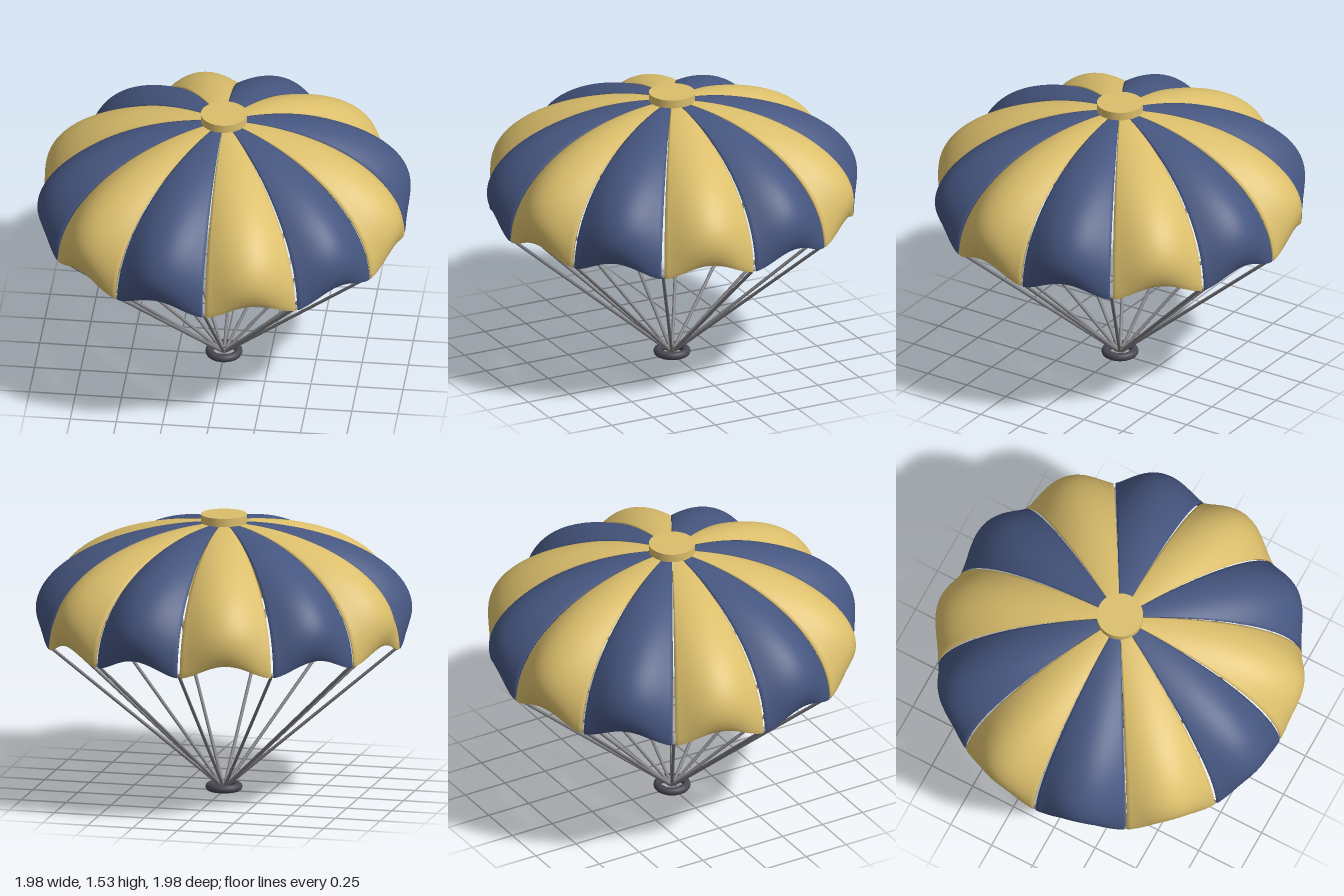
import * as THREE from 'three';

const PANELS = 12;
const STEP = (Math.PI * 2) / PANELS;
const GAP = 0.008;      // half of the angular slit between panels
const HALF = 0.006;     // half of the cloth thickness
const ROWS = 32, COLS = 22;

// Elliptical profile from crown to hem, as radius and height
const arc = (angle, radius, height, base) =>
  new THREE.Vector2(radius * Math.sin(angle), base + height * Math.cos(angle));
const seam = (t) => arc(0.03 + t * 1.54, 0.975, 0.64, 0.84);
// The middle of a panel is fuller and tucks in below its widest point
const middle = (t) => {
  const p = arc(0.03 + t * 1.71, 1.015, 0.485, 0.995);
  p.x -= 0.02 * Math.pow(t, 10);
  return p;
};

// Point on the billowed cloth: u across the panel, t from crown to hem
function cloth(u, t) {
  const puff = Math.pow(Math.max(0, Math.sin(Math.PI * u)), 1 + 0.6 * Math.pow(t, 4));
  const p = seam(t).lerp(middle(t), puff);
  const a = GAP + u * (STEP - 2 * GAP);
  return new THREE.Vector3(p.x * Math.cos(a), p.y, p.x * Math.sin(a));
}

function clothNormal(u, t) {
  const e = 0.004;
  const u0 = Math.max(0, u - e), u1 = Math.min(1, u + e);
  const t0 = Math.max(0, t - e), t1 = Math.min(1, t + e);
  const du = cloth(u1, t).sub(cloth(u0, t));
  const dt = cloth(u, t1).sub(cloth(u, t0));
  return du.cross(dt).normalize();
}

// Closed thin shell: each row is a loop over the outside and back along the inside
function panelGeometry() {
  const pos = [], index = [];
  const loop = 2 * (COLS + 1);
  for (let j = 0; j <= ROWS + 1; j++) {
    const t = Math.min(1, j / ROWS);
    for (let k = 0; k < loop; k++) {
      const outer = k <= COLS;
      const u = (outer ? k : loop - 1 - k) / COLS;
      // the extra last row folds both faces together as a rounded hem
      const offset = j > ROWS ? 0 : outer ? HALF : -HALF;
      const p = cloth(u, t).addScaledVector(clothNormal(u, t), offset);
      if (j > ROWS) p.y -= 0.004;
      pos.push(p.x, p.y, p.z);
    }
  }
  for (let j = 0; j <= ROWS; j++) {
    for (let k = 0; k < loop; k++) {
      const a = j * loop + k, b = j * loop + (k + 1) % loop;
      index.push(a, b, a + loop, b, b + loop, a + loop);
    }
  }
  const g = new THREE.BufferGeometry();
  g.setAttribute('position', new THREE.Float32BufferAttribute(pos, 3));
  g.setIndex(index);
  g.computeVertexNormals();
  return g;
}

// Round rod between two points
function rod(from, to, radius, material) {
  const dir = to.clone().sub(from);
  const mesh = new THREE.Mesh(new THREE.CylinderGeometry(radius, radius, dir.length(), 10), material);
  mesh.position.copy(from).add(to).multiplyScalar(0.5);
  mesh.quaternion.setFromUnitVectors(new THREE.Vector3(0, 1, 0), dir.normalize());
  return mesh;
}

export function createModel() {
  const model = new THREE.Group();
  model.name = 'parachute';
  const gold = new THREE.MeshStandardMaterial({ color: 0xdcbf6c });
  const blue = new THREE.MeshStandardMaterial({ color: 0x465680 });
  const cordGrey = new THREE.MeshStandardMaterial({ color: 0x808084 });
  const ringDark = new THREE.MeshStandardMaterial({ color: 0x4a4652 });

  // Canopy of alternating panels, with a cord under each seam
  const canopy = new THREE.Group();
  canopy.name = 'canopy';
  const cords = new THREE.Group();
  cords.name = 'cords';
  const geometry = panelGeometry();
  for (let i = 0; i < PANELS; i++) {
    const panel = new THREE.Mesh(geometry, i % 2 ? blue : gold);
    panel.name = 'canopyPanel';
    panel.rotation.y = -i * STEP;
    canopy.add(panel);

    const c = Math.cos(i * STEP), s = Math.sin(i * STEP);
    const cord = rod(new THREE.Vector3(0.02 * c, 0.03, 0.02 * s),
      new THREE.Vector3(0.975 * c, 0.855, 0.975 * s), 0.009, cordGrey);
    cord.name = 'cord';
    cords.add(cord);
  }
  model.add(canopy, cords);

  // Crown cap
  const cap = new THREE.Mesh(new THREE.CylinderGeometry(0.125, 0.125, 0.045, 40), gold);
  cap.name = 'crownCap';
  cap.position.y = 1.5075;
  model.add(cap);

  // Ring gathering the cords
  const ring = new THREE.Mesh(new THREE.TorusGeometry(0.078, 0.022, 16, 40), ringDark);
  ring.name = 'harnessRing';
  ring.rotation.x = Math.PI / 2;
  ring.position.y = 0.022;
  model.add(ring);

  return model;
}
